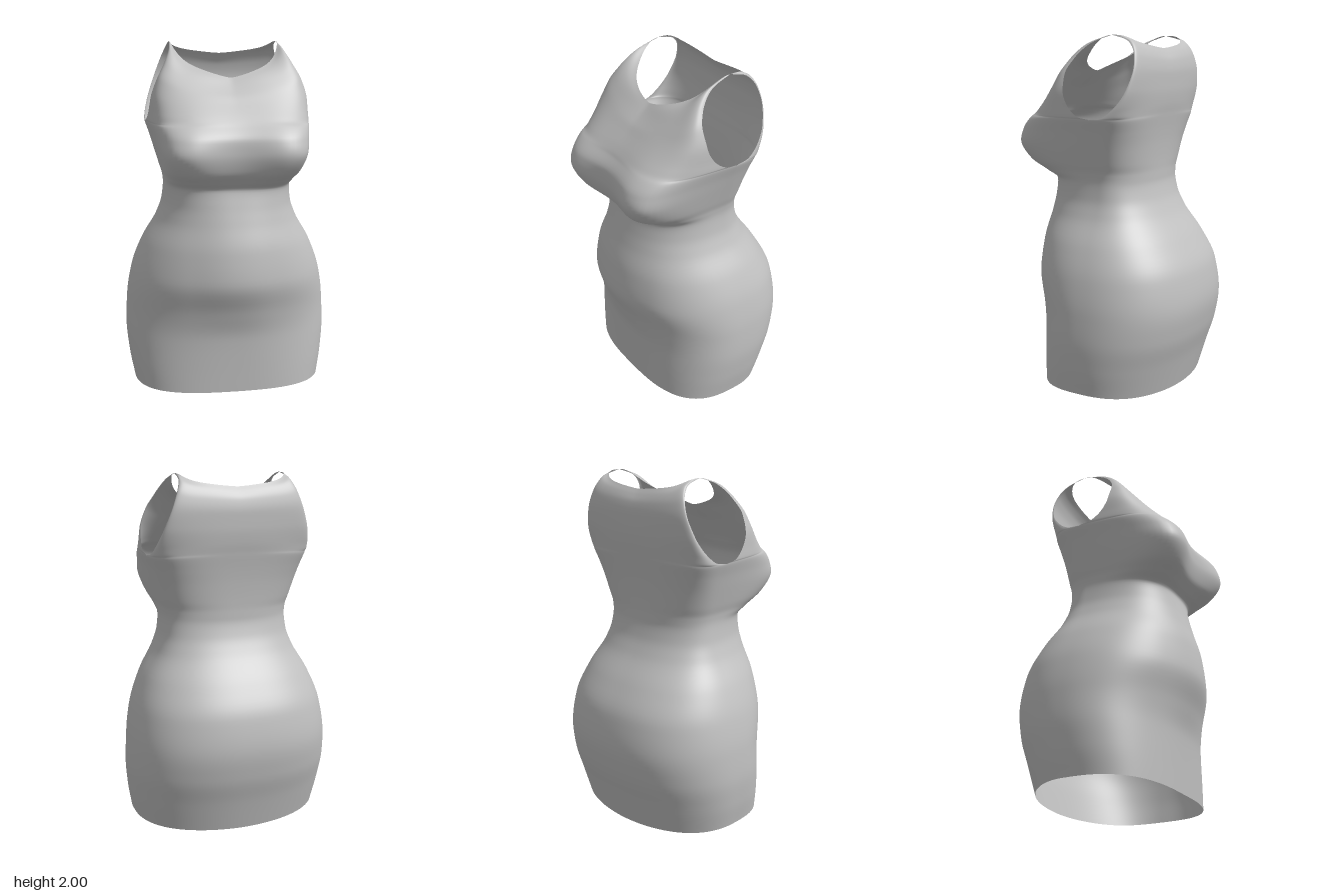
import * as THREE from 'three';
import { mergeGeometries, mergeVertices } from 'three/addons/utils/BufferGeometryUtils.js';

const SIDE_Z = -0.04; // depth of the side seam below the armholes
const COLS = 64, STEPS = 6;

// Body sections below the armholes:
// y, half width, front z, front squareness, chest dip (negative: belly), front taper, back z, back squareness
const BODY = [
  [0.02, 0.555, 0.365, 2.9, 0, 0, -0.405, 2.15],
  [0.18, 0.583, 0.37, 2.6, 0, 0, -0.455, 2.25],
  [0.34, 0.597, 0.378, 2.35, 0, 0, -0.503, 2.35],
  [0.5, 0.59, 0.41, 2.2, -0.008, 0, -0.525, 2.4],
  [0.68, 0.56, 0.457, 2.2, -0.018, 0, -0.5, 2.4],
  [0.85, 0.496, 0.442, 2.3, -0.015, 0, -0.415, 2.35],
  [1.0, 0.41, 0.405, 2.45, -0.01, 0, -0.312, 2.3],
  [1.1, 0.375, 0.383, 2.55, -0.004, 0, -0.265, 2.3],
  [1.19, 0.365, 0.366, 2.8, 0, 0, -0.245, 2.35],
  [1.24, 0.37, 0.425, 3.6, 0.015, 0.01, -0.245, 2.4],
  [1.3, 0.388, 0.496, 5, 0.035, 0.02, -0.248, 2.6],
  [1.4, 0.418, 0.532, 7, 0.047, 0.045, -0.257, 2.9],
  [1.48, 0.442, 0.514, 6, 0.035, 0.075, -0.268, 3.3],
];

// Panels above: centre y, centre z, squareness, chest dip, front taper, then armhole edge y, x, z
const FRONT_TOP = [
  [1.55, 0.457, 5, 0.025, 0.095, 1.55, 0.465, SIDE_Z],
  [1.572, 0.437, 4.3, 0.02, 0.09, 1.562, 0.463, 0.025],
  [1.605, 0.405, 3.7, 0.015, 0.08, 1.605, 0.455, 0.09],
  [1.66, 0.347, 3, 0.008, 0.07, 1.695, 0.443, 0.138],
  [1.71, 0.292, 2.7, 0, 0.05, 1.79, 0.41, 0.146],
  [1.75, 0.246, 2.5, 0, 0.02, 1.88, 0.363, 0.108],
  [1.78, 0.212, 2.3, 0, 0, 1.96, 0.327, 0.02],
  [1.8, 0.19, 2.15, 0, 0, 2.0, 0.315, -0.1],
];
const BACK_TOP = [
  [1.55, -0.28, 3.7, 0, 0, 1.55, 0.465, SIDE_Z],
  [1.575, -0.284, 3.1, 0, 0, 1.562, 0.463, -0.11],
  [1.63, -0.294, 2.6, 0, 0, 1.61, 0.453, -0.18],
  [1.71, -0.302, 2.4, 0, 0, 1.71, 0.423, -0.245],
  [1.79, -0.303, 2.4, 0, 0, 1.82, 0.383, -0.268],
  [1.86, -0.292, 2.6, 0, 0, 1.9, 0.353, -0.255],
  [1.9, -0.272, 3, 0, 0, 1.97, 0.325, -0.2],
  [1.93, -0.25, 3.5, 0, 0, 2.0, 0.315, -0.1],
];

// Smooth interpolation between sections that never overshoots
function smoothRows(rows) {
  const last = rows.length - 1;
  const tangent = (i, k) => {
    if (i === 0) return rows[1][k] - rows[0][k];
    if (i === last) return rows[last][k] - rows[last - 1][k];
    const a = rows[i][k] - rows[i - 1][k], b = rows[i + 1][k] - rows[i][k];
    return a * b > 0 ? (2 * a * b) / (a + b) : 0;
  };
  const out = [];
  for (let i = 0; i < last; i++) {
    for (let s = 0; s < STEPS; s++) {
      const t = s / STEPS, t2 = t * t, t3 = t2 * t;
      out.push(rows[i].map((p, k) =>
        p * (2 * t3 - 3 * t2 + 1) + tangent(i, k) * (t3 - 2 * t2 + t) +
        rows[i + 1][k] * (3 * t2 - 2 * t3) + tangent(i + 1, k) * (t3 - t2)));
    }
  }
  out.push(rows[last]);
  return out;
}

// Half of the dress: rounded-square half sections lofted from hem to neckline
function halfShell(rows, dir) {
  const pos = [], index = [];
  const sections = smoothRows(rows);
  sections.forEach(([yMid, zMid, n, dip, taper, yEdge, w, zEdge], i) => {
    for (let j = 0; j <= COLS; j++) {
      const a = (j / COLS - 0.5) * Math.PI;
      const c = j % COLS === 0 ? 0 : Math.cos(a), s = Math.sin(a);
      const r = Math.pow(Math.abs(s) ** n + c ** n, -1 / n);
      const side = Math.abs(s) * r, depth = c * r;
      const x = dir * w * s * r * (1 - taper * depth);
      const hollow = dip * Math.max(0, 1 - (x / 0.27) ** 2) ** 2;
      const rise = 0.55 * side ** 1.3 + 0.45 * side ** 8; // shallow V that climbs steeply to the strap
      pos.push(x, yMid + (yEdge - yMid) * rise, zEdge + (zMid - zEdge) * depth - hollow);
      if (i < sections.length - 1 && j < COLS) {
        const p = i * (COLS + 1) + j, q = p + COLS + 1;
        index.push(p, p + 1, q + 1, p, q + 1, q);
      }
    }
  });
  const g = new THREE.BufferGeometry();
  g.setAttribute('position', new THREE.Float32BufferAttribute(pos, 3));
  g.setIndex(index);
  return g;
}

export function createModel() {
  const fabric = new THREE.MeshStandardMaterial({ color: 0xc0c0c0, side: THREE.DoubleSide });
  fabric.name = 'grey fabric';

  // The hem sits slightly lower at the back than at the sides
  const hem = (y, level) => (y === 0.02 ? level : y);
  const front = BODY.map(([y, w, zF, nF, dip, taper]) => [y, zF, nF, dip, taper, hem(y, 0.027), w, SIDE_Z]);
  const back = BODY.map(([y, w, , , , , zB, nB]) => [hem(y, 0), zB, nB, 0, 0, hem(y, 0.027), w, SIDE_Z]);

  // Join both halves at the side seams and share their normals
  const geometry = mergeVertices(mergeGeometries([
    halfShell([...front, ...FRONT_TOP], 1),
    halfShell([...back, ...BACK_TOP], -1),
  ]), 1e-4);
  geometry.computeVertexNormals();

  const dress = new THREE.Mesh(geometry, fabric);
  dress.name = 'sleevelessDress';
  const model = new THREE.Group();
  model.name = 'dress';
  model.add(dress);
  return model;
}
